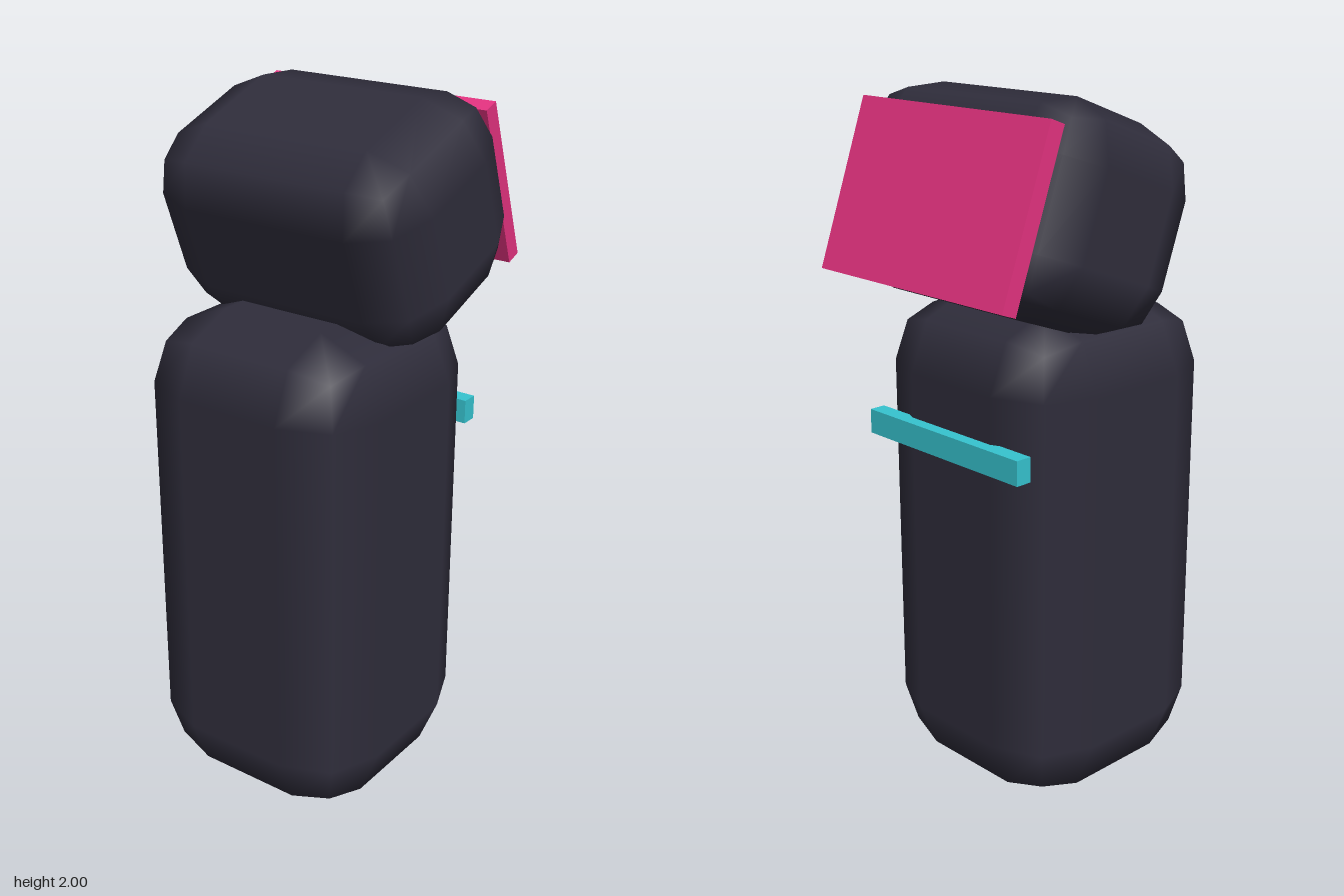
import * as THREE from 'three';
import { RoundedBoxGeometry } from 'three/addons/geometries/RoundedBoxGeometry.js';

const material = (name, color) => {
  const m = new THREE.MeshStandardMaterial({ color });
  m.name = name;
  return m;
};

export function createModel() {
  const shell = material('dark shell', 0x2f2d3b);
  const pink = material('pink screen', 0xe3327f);
  const teal = material('teal trim', 0x36c4d0);

  const part = (parent, name, geometry, mat, x, y, z = 0) => {
    const mesh = new THREE.Mesh(geometry, mat);
    mesh.name = name;
    mesh.position.set(x, y, z);
    parent.add(mesh);
    return mesh;
  };

  const model = new THREE.Group();
  model.name = 'robot';

  // Tall body with single-step rounded edges
  part(model, 'body', new RoundedBoxGeometry(0.715, 1.437, 0.715, 1, 0.2), shell, -0.071, 0.7185);

  // Thin bar across the chest
  part(model, 'chestBar', new THREE.BoxGeometry(0.048, 0.07, 0.6), teal, 0.299, 1.073);

  // Head tilted upwards, with the face screen set into its flat side
  const head = new THREE.Group();
  head.name = 'head';
  head.position.set(0.048, 1.684, 0);
  head.rotation.z = 0.349;
  model.add(head);
  part(head, 'headShell', new RoundedBoxGeometry(0.585, 0.575, 0.835, 1, 0.165), shell, 0, 0);
  part(head, 'faceScreen', new THREE.BoxGeometry(0.048, 0.477, 0.717), pink, 0.276, -0.045);

  return model;
}
